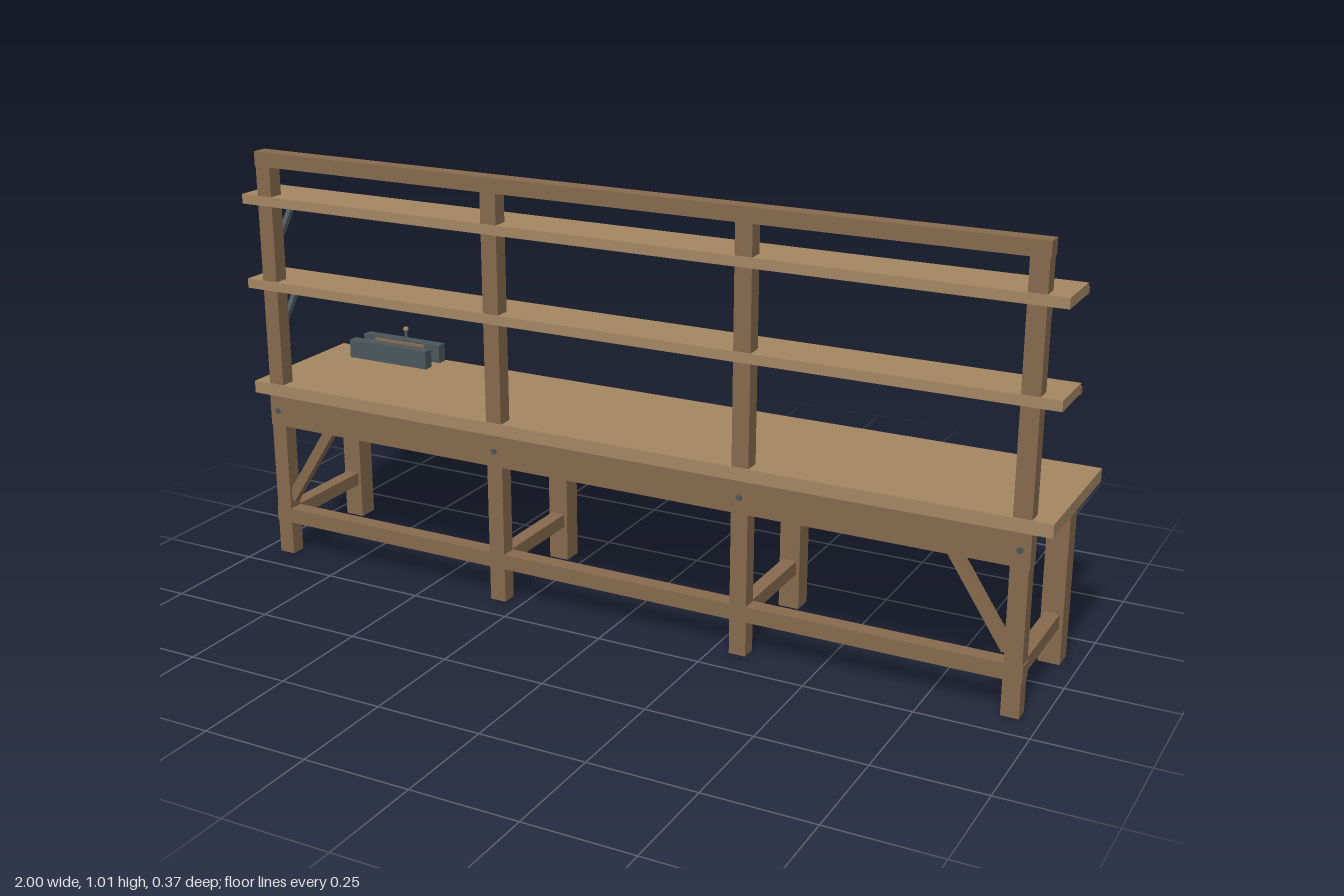
import * as THREE from 'three';

const frame = new THREE.MeshStandardMaterial({ color: 0x876a4e });
const board = new THREE.MeshStandardMaterial({ color: 0xa58763 });
const metal = new THREE.MeshStandardMaterial({ color: 0x4c565b });

export function createModel() {
  const model = new THREE.Group();

  const add = (name, geometry, material, parent = model) => {
    const mesh = new THREE.Mesh(geometry, material);
    mesh.name = name;
    parent.add(mesh);
    return mesh;
  };
  // Box given by its limits on each axis
  const box = (name, material, [x0, x1], [y0, y1], [z0, z1], parent) => {
    const mesh = add(name, new THREE.BoxGeometry(x1 - x0, y1 - y0, z1 - z0), material, parent);
    mesh.position.set((x0 + x1) / 2, (y0 + y1) / 2, (z0 + z1) / 2);
    return mesh;
  };
  // Square-cut bar running between two points
  const bar = (name, material, a, b, width, depth) => {
    const from = new THREE.Vector3(...a), to = new THREE.Vector3(...b);
    const mesh = add(name, new THREE.BoxGeometry(width, from.distanceTo(to), depth), material);
    mesh.position.copy(from).lerp(to, 0.5);
    mesh.quaternion.setFromUnitVectors(new THREE.Vector3(0, 1, 0), to.sub(from).normalize());
    return mesh;
  };
  const bolt = (x, y, z) => {
    const mesh = add('bolt', new THREE.CylinderGeometry(0.007, 0.007, 0.008, 12), metal);
    mesh.rotation.x = Math.PI / 2;
    mesh.position.set(x, y, z);
  };

  const span = [-0.957, 0.957];
  const full = [-1, 1];
  const postZ = [0.142, 0.18];

  // Worktop with its front and back aprons
  box('worktop', board, full, [0.413, 0.443], [-0.18, 0.182]);
  box('frontApron', frame, span, [0.337, 0.413], postZ);
  box('backApron', frame, span, [0.363, 0.413], [-0.178, -0.154]);

  // Tall front posts, back legs and the stretchers joining them
  for (const x of [-0.935, -0.3117, 0.3117, 0.935]) {
    box('frontPost', frame, [x - 0.02, x + 0.02], [0, 0.98], [0.1425, 0.1795]);
    box('backLeg', frame, [x - 0.025, x + 0.025], [0, 0.413], [-0.154, -0.104]);
    box('sideStretcher', frame, [x - 0.017, x + 0.017], [0.087, 0.12], [-0.104, 0.142]);
    bolt(x, 0.375, 0.18);
    bolt(x, 0.375, -0.177);
  }
  box('topRail', frame, span, [0.98, 1.015], postZ);
  box('longStretcher', frame, span, [0.083, 0.12], postZ);

  // Diagonal corner braces under the front apron
  for (const s of [-1, 1]) {
    bar('cornerBrace', frame, [s * 0.918, 0.145, 0.161], [s * 0.788, 0.345, 0.161], 0.025, 0.022);
  }

  // Shelves with a back lip and metal struts at the end posts
  for (const y of [0.685, 0.892]) {
    box('shelf', board, full, [y - 0.006, y + 0.017], [0.053, 0.182]);
    box('shelfLip', frame, full, [y - 0.008, y + 0.006], [0.04, 0.054]);
    for (const s of [-1, 1]) {
      bar('shelfStrut', metal, [s * 0.935, y - 0.108, 0.145], [s * 0.935, y - 0.008, 0.067], 0.012, 0.012);
    }
  }

  // Vise on the back right corner
  const vise = new THREE.Group();
  vise.name = 'vise';
  model.add(vise);
  box('viseBody', metal, [-0.865, -0.725], [0.397, 0.452], [-0.182, -0.09], vise);
  for (const z of [-0.114, -0.175]) {
    box('viseJaw', metal, [-0.91, -0.68], [0.44, 0.489], [z, z + 0.026], vise);
  }
  for (const z of [-0.121, -0.149]) {
    box('jawPad', frame, [-0.87, -0.72], [0.45, 0.485], [z, z + 0.008], vise);
  }
  const handle = add('viseHandle', new THREE.CylinderGeometry(0.004, 0.004, 0.09, 12), metal, vise);
  handle.position.set(-0.795, 0.465, -0.172);
  const knob = add('handleKnob', new THREE.SphereGeometry(0.007, 16, 12), board, vise);
  knob.position.set(-0.795, 0.511, -0.172);

  return model;
}
